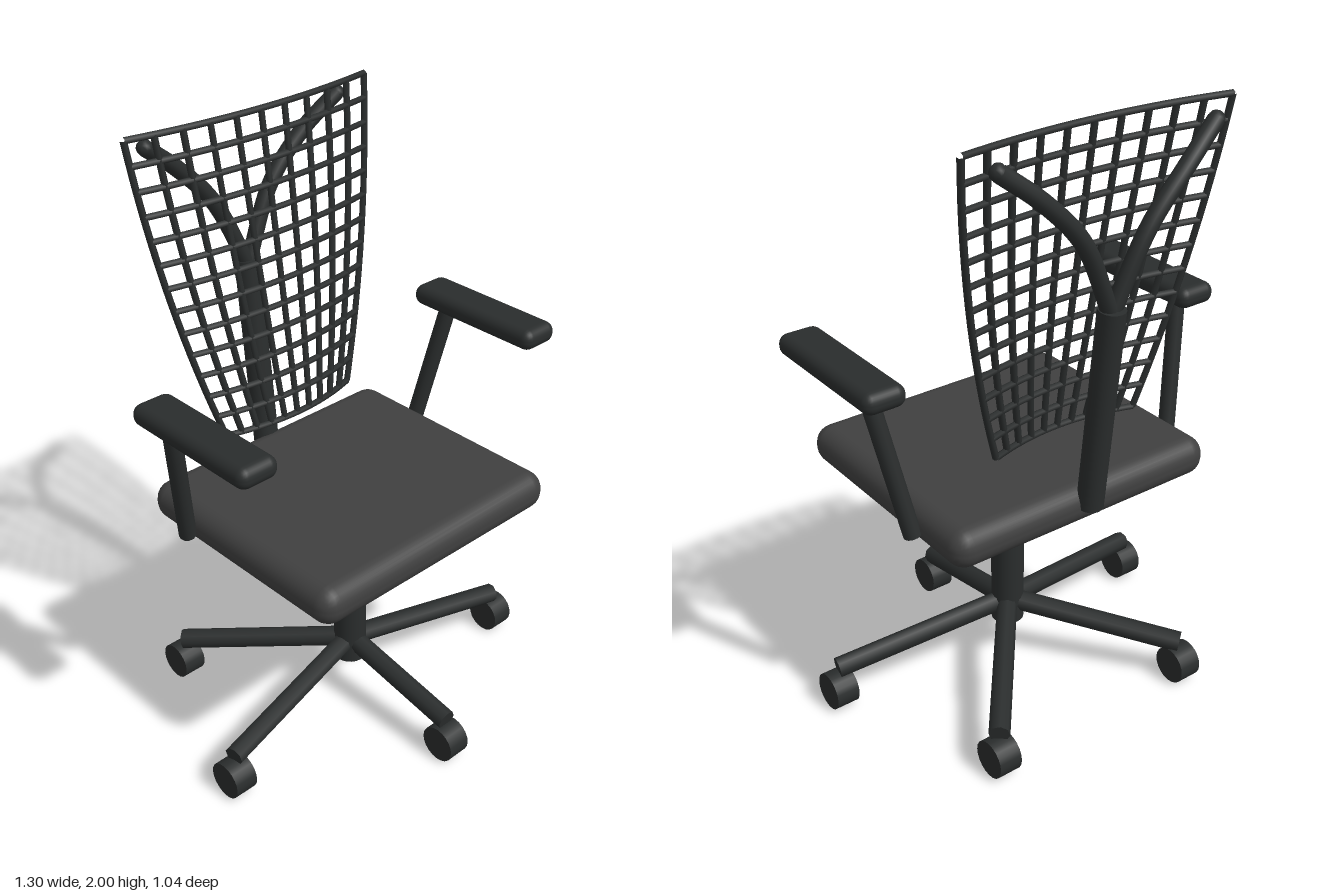
import * as THREE from 'three';
import { RoundedBoxGeometry } from 'three/addons/geometries/RoundedBoxGeometry.js';

const frameMat = new THREE.MeshStandardMaterial({ color: 0x2a2d2d });
const seatMat = new THREE.MeshStandardMaterial({ color: 0x404040 });
const v = (x, y, z) => new THREE.Vector3(x, y, z);

export function createModel() {
  const model = new THREE.Group();
  model.name = 'officeChair';

  function add(name, geometry, x = 0, y = 0, z = 0, material = frameMat, parent = model) {
    const mesh = new THREE.Mesh(geometry, material);
    mesh.name = name;
    mesh.position.set(x, y, z);
    parent.add(mesh);
    return mesh;
  }

  // Capped round bar between two points
  function rod(name, a, b, radius, sides = 12) {
    const mid = a.clone().add(b).multiplyScalar(0.5);
    const mesh = add(name, new THREE.CylinderGeometry(radius, radius, a.distanceTo(b), sides), mid.x, mid.y, mid.z);
    mesh.quaternion.setFromUnitVectors(v(0, 1, 0), b.clone().sub(a).normalize());
    return mesh;
  }

  // Five-legged base; every wheel rolls forward
  const feet = [[0, 0.46], [0.61, 0.11], [-0.61, 0.11], [0.375, -0.46], [-0.375, -0.46]];
  for (const [x, z] of feet) {
    rod('baseLeg', v(0, 0.223, 0), v(x, 0.143, z), 0.034, 8);
    const wheel = new THREE.CylinderGeometry(0.0625, 0.0625, 0.08, 20);
    wheel.rotateZ(Math.PI / 2);
    add('caster', wheel, x, 0.0625, z);
  }

  // Gas column and collar under the seat
  add('column', new THREE.CylinderGeometry(0.055, 0.055, 0.6, 20), 0, 0.45, 0);
  add('seatCollar', new THREE.CylinderGeometry(0.1, 0.1, 0.11, 24), 0, 0.705, 0);

  // Seat cushion
  add('seat', new RoundedBoxGeometry(0.97, 0.13, 0.84, 3, 0.06), 0, 0.81, 0, seatMat);

  // Armrests
  for (const s of [1, -1]) {
    rod('armPost', v(s * 0.5, 0.79, -0.205), v(s * 0.585, 1.26, -0.13), 0.028);
    add('armPad', new RoundedBoxGeometry(0.14, 0.07, 0.51, 3, 0.032), s * 0.58, 1.27, 0.018);
  }

  // Back post and its two branching arms
  rod('backPost', v(0, 0.81, -0.413), v(0, 1.48, -0.478), 0.042, 16);
  for (const s of [1, -1]) {
    const pts = [v(0, 1.46, -0.474), v(s * 0.115, 1.7, -0.488), v(s * 0.245, 1.84, -0.483), v(s * 0.37, 1.94, -0.457)];
    const arm = new THREE.TubeGeometry(new THREE.CatmullRomCurve3(pts), 20, 0.026, 10);
    add('backArm', arm);
    const tip = add('backArmTip', new THREE.SphereGeometry(0.026, 10, 6), pts[3].x, pts[3].y, pts[3].z);
    tip.scale.setScalar(0.98);
  }

  // Curved grid backrest: u runs across (-1..1), t runs up (0..1)
  const back = new THREE.Group();
  back.name = 'backrestGrid';
  model.add(back);
  const gridPoint = (u, t) => {
    const half = 0.262 + 0.315 * t - 0.117 * t * t;
    return v(u * half, 1.01 + 0.98 * t, -0.25 - 0.132 * t - 0.044 * u * u);
  };
  const bar = (name, at, steps) => {
    const pts = Array.from({ length: steps + 1 }, (_, i) => at(i / steps));
    add(name, new THREE.TubeGeometry(new THREE.CatmullRomCurve3(pts), steps * 2, 0.0105, 6), 0, 0, 0, frameMat, back);
  };
  const rows = 13, columns = 10;
  for (let r = 0; r <= rows; r++) bar('crossBar', k => gridPoint(k * 2 - 1, r / rows), 8);
  for (let c = 0; c <= columns; c++) bar('uprightBar', k => gridPoint((c / columns) * 2 - 1, k), 8);

  return model;
}
